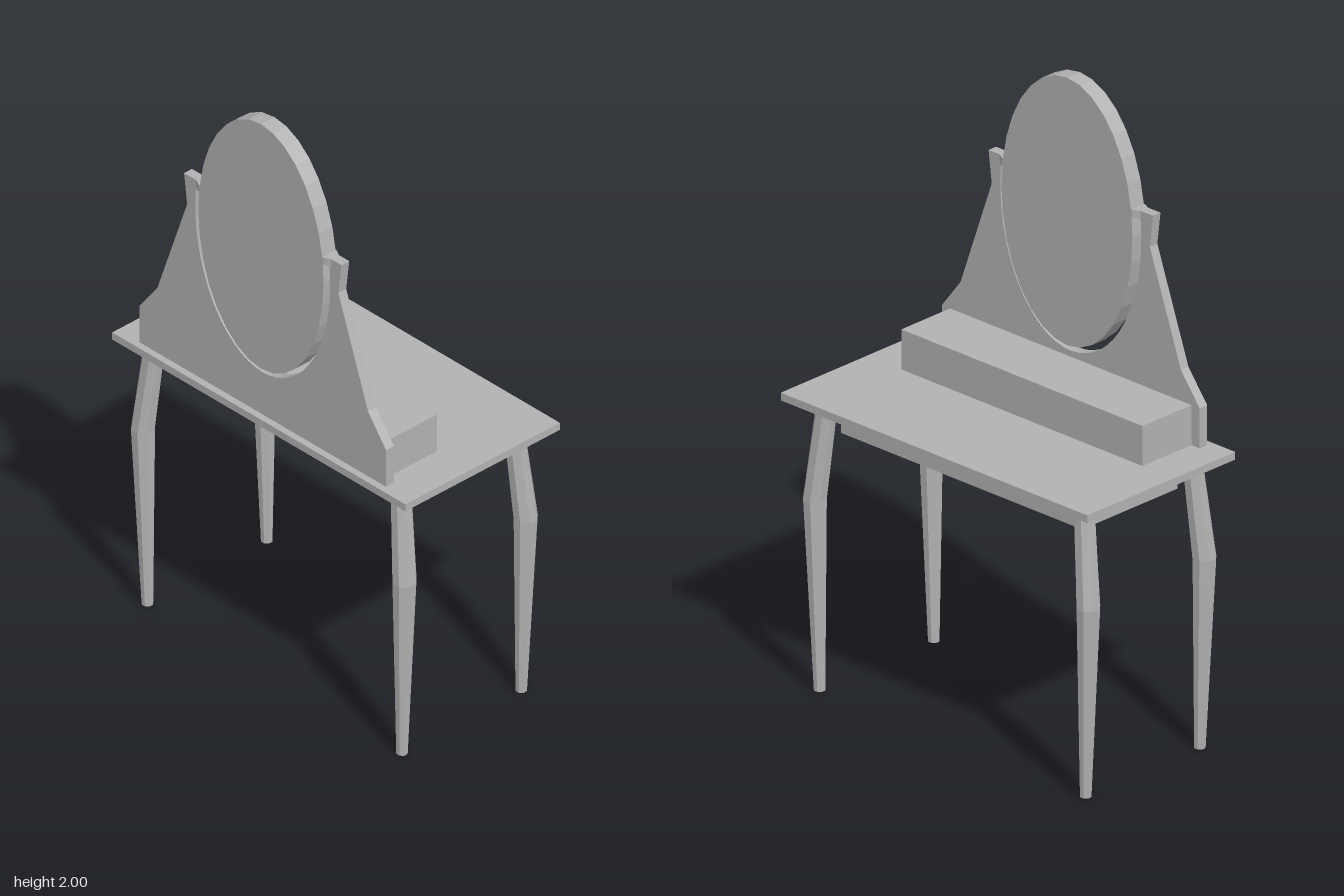
import * as THREE from 'three';

export function createModel() {
  const model = new THREE.Group();
  model.name = 'dressingTable';
  const grey = new THREE.MeshStandardMaterial({ color: 0xb2b2b2 });
  grey.name = 'plain grey';
  const zMid = -0.007; // the fittings sit slightly off the tabletop centre

  const add = (name, geometry) => {
    const mesh = new THREE.Mesh(geometry, grey);
    mesh.name = name;
    model.add(mesh);
    return mesh;
  };
  const box = (name, x0, x1, y0, y1, z0, z1) =>
    add(name, new THREE.BoxGeometry(x1 - x0, y1 - y0, z1 - z0)
      .translate((x0 + x1) / 2, (y0 + y1) / 2, (z0 + z1) / 2));
  const flat = (geometry) => {
    const g = geometry.toNonIndexed();
    g.computeVertexNormals();
    return g;
  };

  // Tabletop, drawer case below it and long box standing on it
  box('tabletop', -0.315, 0.315, 0.935, 0.96, -0.63, 0.63);
  box('drawerCase', -0.2, 0.205, 0.838, 0.935, zMid - 0.496, zMid + 0.496);
  box('trinketBox', -0.26, -0.052, 0.96, 1.09, zMid - 0.496, zMid + 0.496);

  // Bent, chamfered legs: [height, x centre, z centre, half width x, half width z]
  const sections = [
    [0, 0.243, 0.547, 0.017, 0.017],
    [0.62, 0.247, 0.562, 0.036, 0.034],
    [0.935, 0.23, 0.528, 0.029, 0.032],
  ];
  const makeLeg = (sx, sz) => {
    const g = new THREE.CylinderGeometry(1, 1, 2, 8, 2, false, Math.PI / 8);
    const p = g.attributes.position;
    const fit = 1 / Math.cos(Math.PI / 8);
    for (let i = 0; i < p.count; i++) {
      const [y, cx, cz, wx, wz] = sections[Math.round(p.getY(i)) + 1];
      p.setXYZ(i, sx * cx + p.getX(i) * wx * fit, y, sz * cz + zMid + p.getZ(i) * wz * fit);
    }
    return flat(g);
  };
  for (const sx of [-1, 1]) {
    for (const sz of [-1, 1]) {
      add((sx > 0 ? 'left' : 'right') + (sz > 0 ? 'Front' : 'Back') + 'Leg', makeLeg(sx, sz));
    }
  }

  // Mirror support board with an oval cut-out
  const outline = [[0.53, 0.96], [0.53, 1.09], [0.453, 1.19], [0.325, 1.55], [0.338, 1.655], [0.285, 1.655]];
  const board = new THREE.Shape();
  board.moveTo(-0.53, 0.96);
  outline.forEach(([z, y]) => board.lineTo(z, y));
  board.absellipse(0, 1.565, 0.29, 0.455, 0.143, Math.PI - 0.143, true);
  outline.slice(1).reverse().forEach(([z, y]) => board.lineTo(-z, y));
  board.closePath();
  add('mirrorSupport', new THREE.ExtrudeGeometry(board, { depth: 0.032, bevelEnabled: false, curveSegments: 16 })
    .rotateY(-Math.PI / 2).translate(-0.26, 0, zMid));

  // Flared pivots joining the support arms to the mirror
  for (const s of [-1, 1]) {
    const pivot = new THREE.Shape([
      [-0.292, 0.3], [-0.26, 0.3], [-0.26, 0.29], [-0.248, 0.268], [-0.248, 0.262],
      [-0.303, 0.262], [-0.303, 0.268], [-0.292, 0.29],
    ].map(([x, z]) => new THREE.Vector2(x, -s * z)));
    add(s > 0 ? 'frontPivot' : 'backPivot',
      new THREE.ExtrudeGeometry(pivot, { depth: 0.026, bevelEnabled: false })
        .rotateX(-Math.PI / 2).translate(0, 1.629, zMid + 0.004));
  }

  // Oval mirror
  add('mirror', flat(new THREE.CylinderGeometry(1, 1, 0.055, 32)
    .rotateZ(Math.PI / 2).scale(1, 0.435, 0.269).translate(-0.2755, 1.565, -0.003)));

  return model;
}
